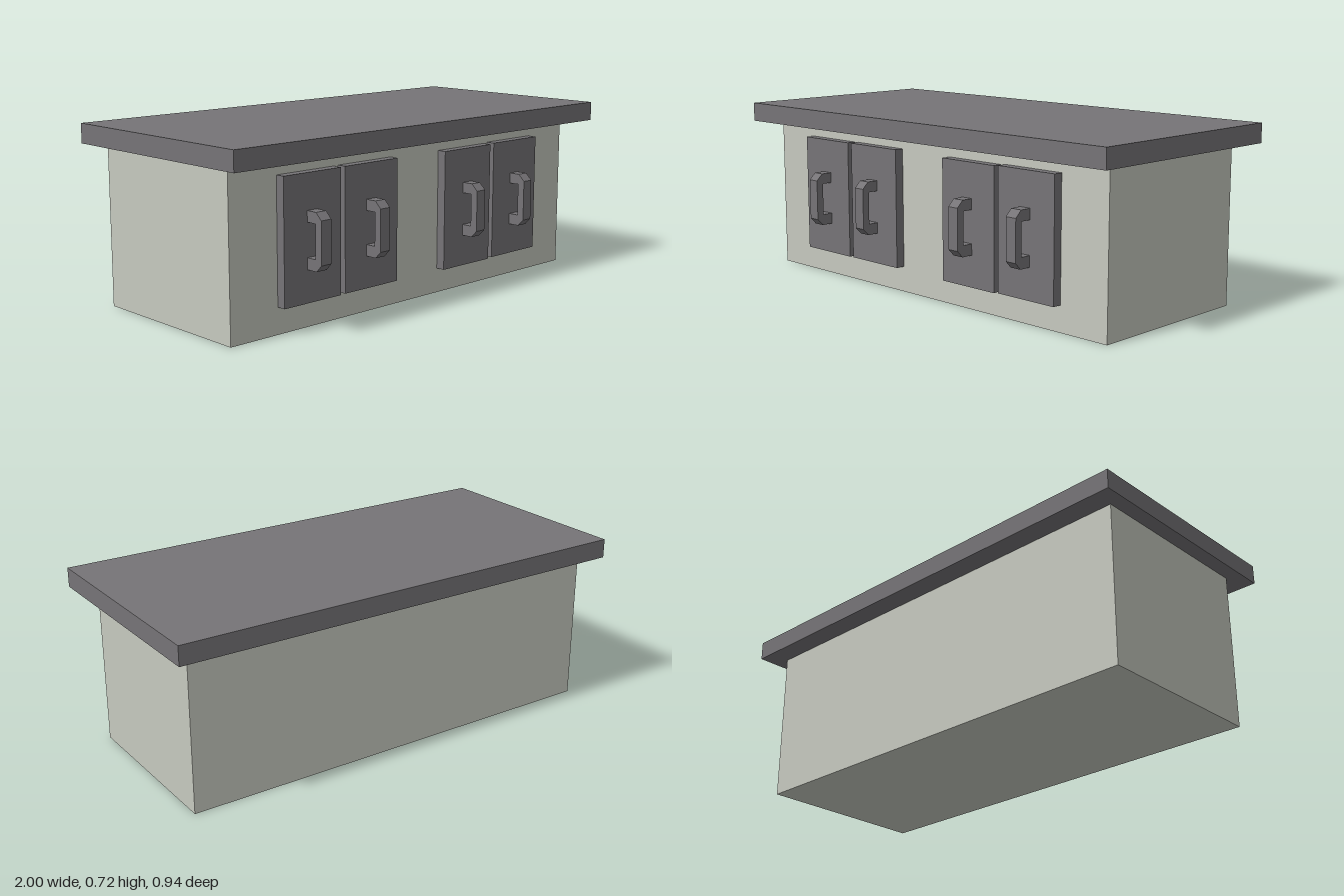
import * as THREE from 'three';

export function createModel() {
  const group = new THREE.Group();
  const slate = new THREE.MeshStandardMaterial({ color: 0x767477 });
  slate.name = 'slate grey';
  const cream = new THREE.MeshStandardMaterial({ color: 0xc6c9bf });
  cream.name = 'pale sage';

  // Box given by its minimum and maximum corners
  function addBox(parent, name, material, [x0, y0, z0], [x1, y1, z1]) {
    const mesh = new THREE.Mesh(new THREE.BoxGeometry(x1 - x0, y1 - y0, z1 - z0), material);
    mesh.position.set((x0 + x1) / 2, (y0 + y1) / 2, (z0 + z1) / 2);
    mesh.name = name;
    parent.add(mesh);
  }

  // Cabinet body and overhanging worktop
  addBox(group, 'cabinetBody', cream, [-0.94, 0, -0.381], [0.926, 0.643, 0.358]);
  addBox(group, 'worktop', slate, [-1, 0.643, -0.47], [1, 0.722, 0.47]);

  // Bracket handle: side profile (z, y) with chamfered outer corners, extruded across x
  const profile = new THREE.Shape([
    [0.39, 0.23], [0.445, 0.23], [0.471, 0.257], [0.471, 0.423], [0.443, 0.45], [0.39, 0.45],
    [0.39, 0.407], [0.44, 0.407], [0.44, 0.275], [0.39, 0.275],
  ].map(([z, y]) => new THREE.Vector2(z, y)));
  const handleWidth = 0.049;
  const handleGeometry = new THREE.ExtrudeGeometry(profile, { depth: handleWidth, bevelEnabled: false })
    .translate(0, 0, -handleWidth / 2)
    .rotateY(-Math.PI / 2);

  // Two pairs of doors, each with its handle: [centre x, vertical offset]
  const doors = [[-0.582, 0.001], [-0.282, 0.002], [0.268, -0.002], [0.568, 0.001]];
  doors.forEach(([x, dy], i) => {
    const unit = new THREE.Group();
    unit.name = `doorUnit${i + 1}`;
    unit.position.set(x, dy, 0);
    addBox(unit, 'door', slate, [-0.139, 0.103, 0.35], [0.139, 0.589, 0.396]);
    const handle = new THREE.Mesh(handleGeometry, slate);
    handle.name = 'handle';
    handle.position.x = -0.003;
    unit.add(handle);
    group.add(unit);
  });

  return group;
}
